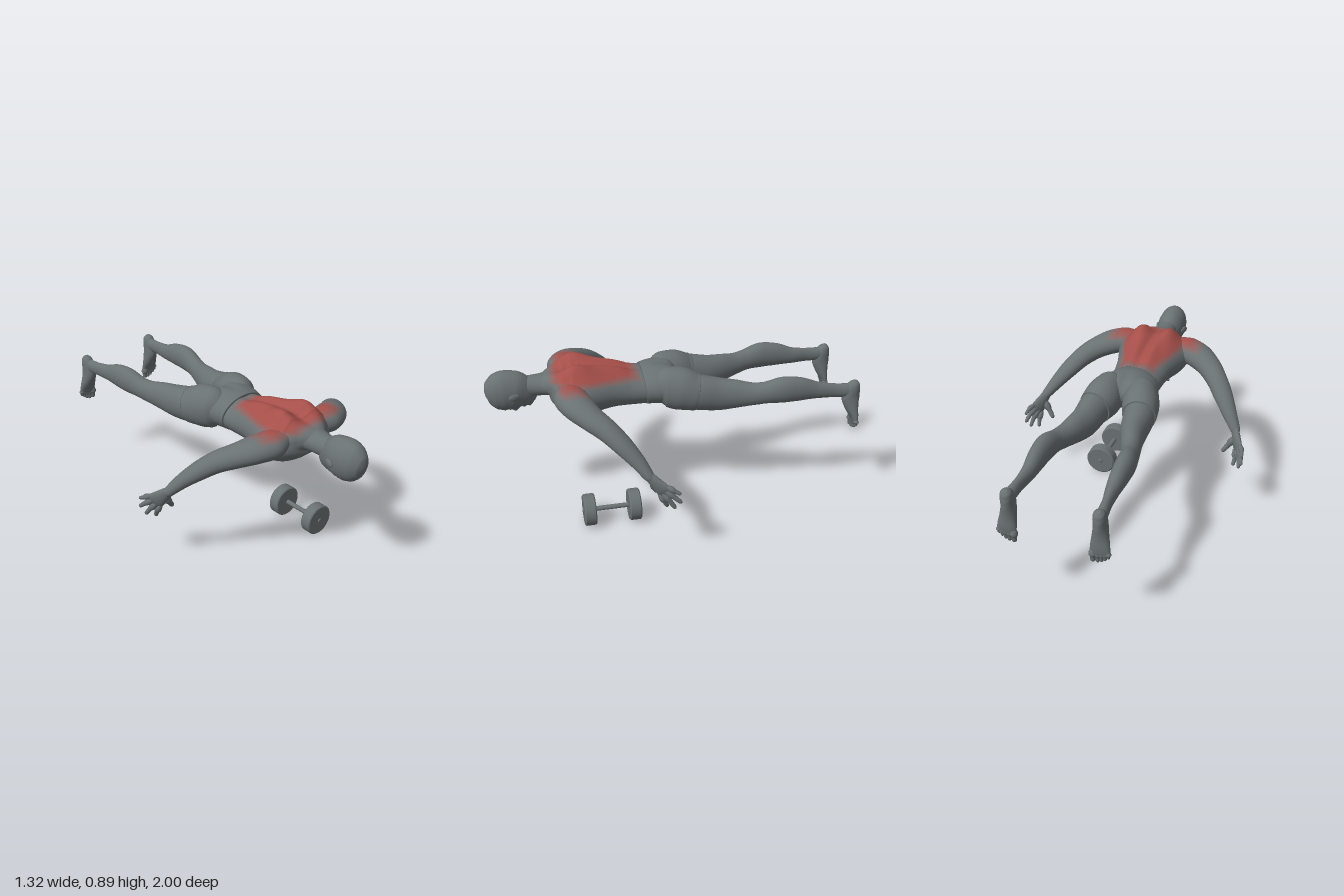
import * as THREE from 'three';

const mat = (name, color, extra = {}) => Object.assign(new THREE.MeshStandardMaterial({ color, ...extra }), { name });
const grey = mat('grey body', 0x6a7173);
const faint = mat('faint red', 0x7a6b6b);
const soft = mat('soft red', 0x8a6260);
const warm = mat('warm red', 0x985854);
const red = mat('muscle red', 0xa64f4a);
const tones = [grey, faint, soft, warm, red];

const Y = new THREE.Vector3(0, 1, 0);
const bump = (v, c, s) => Math.exp(-(((v - c) / s) ** 2));

// highlighted back muscles: tone index, fading outwards
function backTone(x, y, z) {
  const d = Math.min((y - 0.768 - 0.06 * (z - 0.2)) / 0.035, (z - 0.18) / 0.07,
    (0.68 - z) / 0.06, (0.3 - Math.abs(x)) / 0.1);
  return Math.max(0, Math.min(4, Math.floor(d * 4 + 0.5)));
}

// smooth skin through rows of [x, y, z, half width, half height]
function loft(name, rows, { up = Y, seg = 24, steps = 40, deform, painted, sx = 1 } = {}) {
  const path = new THREE.CatmullRomCurve3(rows.map(r => new THREE.Vector3(r[0] * sx, r[1], r[2])));
  const size = new THREE.CatmullRomCurve3(rows.map(r => new THREE.Vector3(r[3], r[4], 0)));
  const pos = [], side = new THREE.Vector3(), top = new THREE.Vector3(), p = new THREE.Vector3();
  for (let i = 0; i <= steps; i++) {
    const c = path.getPoint(i / steps), t = path.getTangent(i / steps), s = size.getPoint(i / steps);
    side.crossVectors(t, up).normalize();
    top.crossVectors(side, t);
    for (let j = 0; j < seg; j++) {
      const a = j / seg * Math.PI * 2;
      p.copy(c).addScaledVector(side, s.x * Math.cos(a)).addScaledVector(top, s.y * Math.sin(a));
      if (deform) deform(p, c);
      pos.push(p.x, p.y, p.z);
    }
  }
  const first = pos.length / 3;
  for (const t of [0, 1]) pos.push(...path.getPoint(t).toArray());
  const buckets = tones.map(() => []);
  const tri = (...v) => {
    const mid = k => (pos[v[0] * 3 + k] + pos[v[1] * 3 + k] + pos[v[2] * 3 + k]) / 3;
    buckets[painted ? backTone(mid(0), mid(1), mid(2)) : 0].push(...v);
  };
  for (let j = 0; j < seg; j++) {
    const k = (j + 1) % seg, e = steps * seg;
    tri(first, j, k);
    tri(first + 1, e + k, e + j);
    for (let i = 0; i < e; i += seg) {
      tri(i + j, i + seg + j, i + k);
      tri(i + k, i + seg + j, i + seg + k);
    }
  }
  const g = new THREE.BufferGeometry();
  g.setAttribute('position', new THREE.Float32BufferAttribute(pos, 3));
  g.setIndex(buckets.flat());
  g.computeVertexNormals();
  let start = 0;
  if (painted) buckets.forEach((b, i) => { if (b.length) g.addGroup(start, b.length, i); start += b.length; });
  const mesh = new THREE.Mesh(g, painted ? tones : grey);
  mesh.name = name;
  return mesh;
}

// tapered round-tipped digit through a few points
function digit(name, points, r, sx, up) {
  const last = points[points.length - 1], prev = points[points.length - 2];
  const near = last.map((v, i) => v + (prev[i] - v) * 0.15);
  const rows = [...points.slice(0, -1).map(q => [...q, r, r]), [...near, r * 0.8, r * 0.8], [...last, r * 0.2, r * 0.2]];
  return loft(name, rows, { up, seg: 10, steps: 14, sx });
}

function ellipsoid(name, x, y, z, rx, ry, rz) {
  const m = new THREE.Mesh(new THREE.SphereGeometry(1, 20, 14), grey);
  m.name = name;
  m.position.set(x, y, z);
  m.scale.set(rx, ry, rz);
  return m;
}

function torsoShape(p, c) {
  const x = Math.abs(p.x);
  if (p.y > c.y) {
    p.y += 0.045 * bump(x, 0.085, 0.05) * bump(p.z, 0.54, 0.1);        // shoulder blades
    p.y += 0.012 * bump(x, 0.05, 0.03) * bump(p.z, 0.33, 0.12);        // long back muscles
    p.y -= 0.015 * bump(x, 0, 0.025) * bump(p.z, 0.4, 0.2);            // spine groove
  } else {
    p.y -= 0.016 * bump(x, 0.1, 0.07) * bump(p.z, 0.5, 0.07);          // chest
    p.y += 0.012 * bump(x, 0, 0.025) * bump(p.z, 0.45, 0.15);          // breastbone
  }
}

function headShape(p, c) {
  if (p.y > c.y) return;
  const x = Math.abs(p.x);
  p.y -= 0.026 * bump(x, 0, 0.014) * bump(p.z, 0.845, 0.022);          // nose
  p.y -= 0.010 * bump(x, 0, 0.025) * bump(p.z, 0.803, 0.01);           // lips
  p.y -= 0.012 * bump(x, 0, 0.03) * bump(p.z, 0.772, 0.014);           // chin
  p.y += 0.014 * bump(x, 0.032, 0.015) * bump(p.z, 0.878, 0.014);      // eye sockets
}

function arm(sx) {
  const g = new THREE.Group();
  g.name = sx > 0 ? 'leftArm' : 'rightArm';
  g.add(loft('armAndShoulder', [
    [0.12, 0.77, 0.58, 0.06, 0.05], [0.2, 0.757, 0.57, 0.088, 0.068], [0.27, 0.745, 0.54, 0.085, 0.066],
    [0.345, 0.718, 0.488, 0.07, 0.06], [0.41, 0.68, 0.422, 0.06, 0.055], [0.47, 0.622, 0.355, 0.054, 0.048],
    [0.53, 0.55, 0.288, 0.04, 0.037], [0.575, 0.49, 0.243, 0.028, 0.027], [0.583, 0.478, 0.232, 0.022, 0.024],
  ], { seg: 48, steps: 90, painted: true, sx }));
  const spread = new THREE.Vector3(0.43 * sx, 0.78, -0.45);
  g.add(loft('palm', [
    [0.57, 0.497, 0.25, 0.02, 0.025], [0.59, 0.46, 0.215, 0.02, 0.036], [0.608, 0.424, 0.182, 0.017, 0.046],
    [0.618, 0.404, 0.164, 0.009, 0.04],
  ], { up: spread, sx }));
  const tips = [[0.595, 0.307, 0.153], [0.635, 0.318, 0.12], [0.652, 0.36, 0.093], [0.652, 0.412, 0.096]];
  tips.forEach((tip, i) => {
    const s = -0.036 + i * 0.024;
    const base = [0.608 + 0.43 * s, 0.42 + 0.78 * s, 0.178 - 0.45 * s];
    const mid = base.map((v, k) => (v + tip[k]) / 2 + (k === 0 ? 0.006 : 0));
    g.add(digit('finger', [base, mid, tip], i === 3 ? 0.011 : 0.013, sx, spread));
  });
  g.add(digit('thumb', [[0.585, 0.455, 0.222], [0.552, 0.405, 0.213], [0.518, 0.357, 0.197]], 0.015, sx, spread));
  return g;
}

function leg(sx) {
  const g = new THREE.Group();
  g.name = sx > 0 ? 'leftLeg' : 'rightLeg';
  g.add(loft('shortsLeg', [
    [0.085, 0.715, 0.1, 0.06, 0.08], [0.092, 0.717, 0.05, 0.089, 0.113], [0.106, 0.707, -0.02, 0.1, 0.119],
    [0.122, 0.691, -0.085, 0.094, 0.106], [0.126, 0.687, -0.11, 0.09, 0.102],
  ], { seg: 40, sx }));
  g.add(loft('thighAndCalf', [
    [0.118, 0.694, -0.06, 0.088, 0.1], [0.129, 0.682, -0.13, 0.083, 0.098], [0.138, 0.668, -0.22, 0.073, 0.093],
    [0.158, 0.669, -0.31, 0.06, 0.081], [0.184, 0.672, -0.4, 0.051, 0.064], [0.2, 0.68, -0.46, 0.048, 0.061],
    [0.215, 0.695, -0.56, 0.051, 0.074], [0.217, 0.69, -0.65, 0.046, 0.068], [0.217, 0.673, -0.75, 0.035, 0.048],
    [0.225, 0.664, -0.85, 0.025, 0.04], [0.23, 0.66, -0.92, 0.028, 0.039], [0.232, 0.66, -0.96, 0.024, 0.034],
  ], { seg: 36, steps: 80, sx }));
  const back = new THREE.Vector3(0, 0, 1);
  g.add(loft('foot', [
    [0.232, 0.714, -0.968, 0.012, 0.01], [0.232, 0.7, -0.963, 0.027, 0.028], [0.232, 0.67, -0.952, 0.033, 0.043],
    [0.232, 0.62, -0.944, 0.034, 0.05], [0.234, 0.56, -0.954, 0.042, 0.038], [0.237, 0.505, -0.969, 0.05, 0.023],
    [0.238, 0.47, -0.973, 0.05, 0.014], [0.238, 0.46, -0.974, 0.042, 0.009],
  ], { up: back, sx }));
  for (const [x, tip, r] of [[0.202, 0.421, 0.015], [0.226, 0.42, 0.011], [0.245, 0.428, 0.011],
    [0.263, 0.44, 0.01], [0.279, 0.455, 0.01]])
    g.add(digit('toe', [[x, 0.49, -0.972], [x, (0.49 + tip) / 2, -0.973], [x, tip, -0.973]], r, sx, back));
  return g;
}

// two bevelled discs on a bar along z
function dumbbell() {
  const g = new THREE.Group();
  g.name = 'dumbbell';
  const lathe = (name, z, half, r, bevel) => {
    const pts = [[0, -half], [r - bevel, -half], [r - bevel, -half], [r, bevel - half], [r, bevel - half],
      [r, half - bevel], [r, half - bevel], [r - bevel, half], [r - bevel, half], [0, half]];
    const m = new THREE.Mesh(new THREE.LatheGeometry(pts.map(q => new THREE.Vector2(...q)), 48), grey);
    m.name = name;
    m.rotation.x = Math.PI / 2;
    m.position.z = z;
    g.add(m);
  };
  for (const z of [0.268, 0.515]) lathe('weightDisc', z, 0.032, 0.087, 0.006);
  lathe('bar', 0.391, 0.162, 0.013, 0.003);
  g.position.set(0.237, 0.087, 0);
  return g;
}

export function createModel() {
  const model = new THREE.Group();
  model.name = 'proneFigureWithDumbbell';
  model.add(loft('torso', [
    [0, 0.763, 0.71, 0.05, 0.045], [0, 0.765, 0.66, 0.105, 0.065], [0, 0.752, 0.62, 0.185, 0.093],
    [0, 0.737, 0.57, 0.218, 0.115], [0, 0.73, 0.5, 0.208, 0.125], [0, 0.728, 0.42, 0.183, 0.124],
    [0, 0.722, 0.33, 0.158, 0.112], [0, 0.711, 0.25, 0.146, 0.1], [0, 0.706, 0.18, 0.142, 0.096],
    [0, 0.706, 0.12, 0.14, 0.095],
  ], { seg: 96, steps: 130, deform: torsoShape, painted: true }));
  model.add(loft('neck', [
    [0, 0.755, 0.83, 0.055, 0.055], [0, 0.757, 0.77, 0.056, 0.056], [0, 0.76, 0.71, 0.067, 0.056],
    [0, 0.765, 0.64, 0.1, 0.06],
  ], { seg: 40, painted: true }));
  model.add(loft('head', [
    [0, 0.735, 1, 0.012, 0.018], [0, 0.737, 0.988, 0.042, 0.06], [0, 0.741, 0.95, 0.07, 0.098],
    [0, 0.744, 0.9, 0.081, 0.111], [0, 0.738, 0.85, 0.08, 0.109], [0, 0.716, 0.8, 0.064, 0.088],
    [0, 0.69, 0.77, 0.046, 0.058], [0, 0.675, 0.755, 0.026, 0.03],
  ], { seg: 64, steps: 80, deform: headShape }));
  model.add(loft('shorts', [
    [0, 0.708, 0.168, 0.147, 0.103], [0, 0.714, 0.11, 0.16, 0.11], [0, 0.712, 0.05, 0.168, 0.11],
    [0, 0.7, 0.01, 0.12, 0.085], [0, 0.69, -0.01, 0.04, 0.04],
  ], { seg: 48, deform: (p, c) => { if (p.y > c.y) p.y -= 0.02 * bump(p.x, 0, 0.02) * bump(p.z, 0, 0.09); } }));
  for (const sx of [1, -1]) {
    model.add(arm(sx), leg(sx));
    const ear = ellipsoid(sx > 0 ? 'leftEar' : 'rightEar', sx * 0.084, 0.738, 0.852, 0.009, 0.019, 0.031);
    ear.rotation.y = sx * 0.3;
    model.add(ear);
    model.add(ellipsoid('eye', sx * 0.032, 0.656, 0.878, 0.012, 0.012, 0.01));
    model.add(ellipsoid('nipple', sx * 0.11, 0.603, 0.46, 0.009, 0.009, 0.009));
  }
  model.add(dumbbell());
  return model;
}
